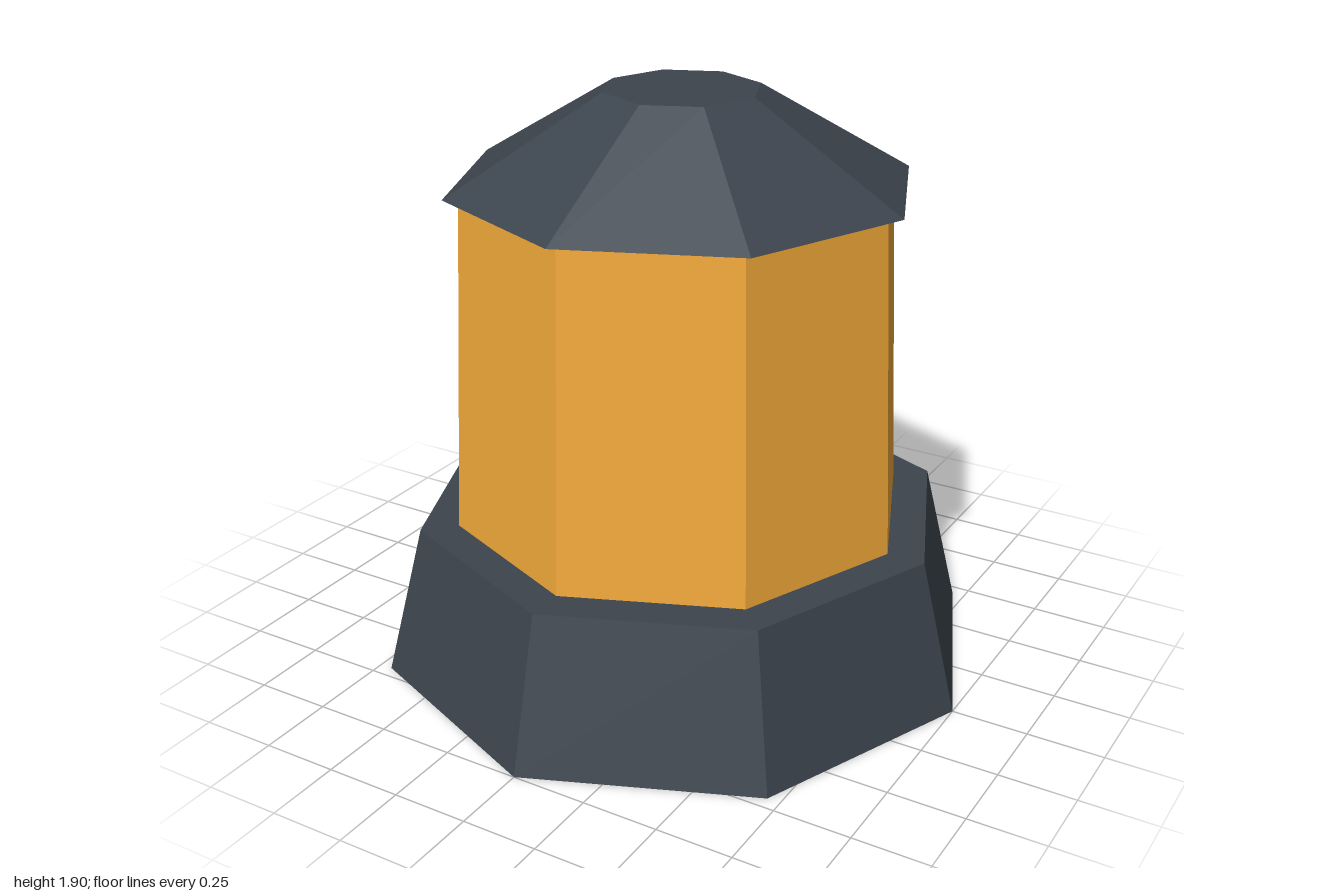
import * as THREE from 'three';

const SIDES = 8;

export function createModel() {
  const model = new THREE.Group();
  model.name = 'beaconLight';

  const dark = new THREE.MeshStandardMaterial({ color: 0x3c444d, flatShading: true });
  const amber = new THREE.MeshStandardMaterial({ color: 0xf2a93a, flatShading: true });

  // Tapered eight-sided section between two heights
  const addSection = (name, bottomRadius, topRadius, y0, y1, material) => {
    const geometry = new THREE.CylinderGeometry(topRadius, bottomRadius, y1 - y0, SIDES);
    const mesh = new THREE.Mesh(geometry, material);
    mesh.name = name;
    mesh.position.y = (y0 + y1) / 2;
    model.add(mesh);
  };

  addSection('base', 1, 0.875, 0, 0.5, dark);
  addSection('lens', 0.75, 0.7, 0.5, 1.6, amber);
  addSection('cap', 0.75, 0.25, 1.6, 1.9, dark);

  return model;
}
